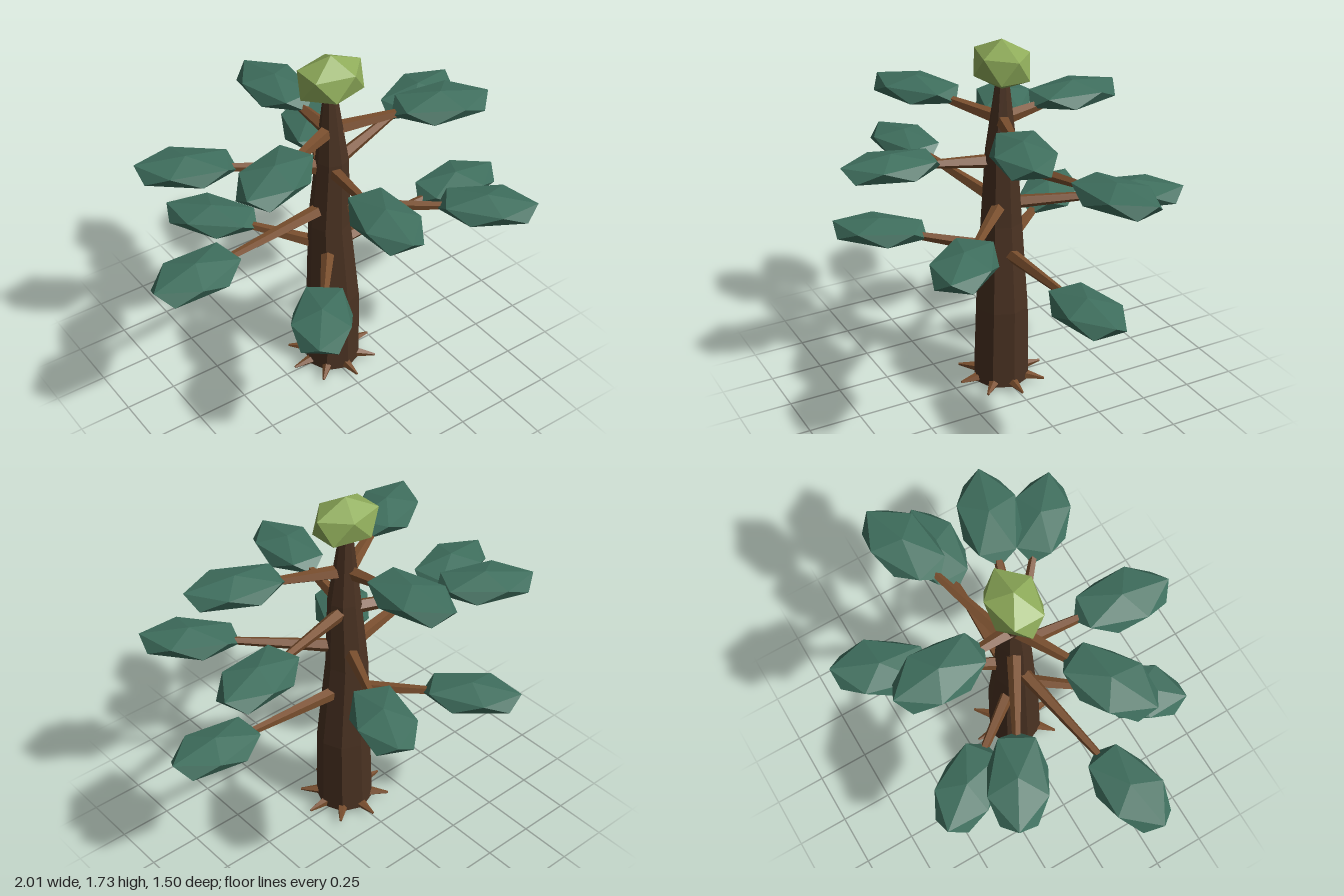
import * as THREE from 'three';

const paint = (color) => new THREE.MeshStandardMaterial({ color, flatShading: true });
const UP = new THREE.Vector3(0, 1, 0);

// tapered faceted limb between two points
function limb(from, to, r0, r1, sides, material, name) {
  const dir = to.clone().sub(from);
  const mesh = new THREE.Mesh(new THREE.CylinderGeometry(r1, r0, dir.length(), sides), material);
  mesh.position.copy(from).addScaledVector(dir, 0.5);
  mesh.quaternion.setFromUnitVectors(UP, dir.normalize());
  mesh.name = name;
  return mesh;
}

// stretched icosahedron standing on one of its corners
function clump(rx, ry, rz, material, name) {
  const g = new THREE.IcosahedronGeometry(1, 0);
  g.rotateZ(Math.atan2(1.618, 1) - Math.PI / 2);
  g.scale(rx, ry, rz);
  const mesh = new THREE.Mesh(g, material);
  mesh.name = name;
  return mesh;
}

// eight-sided trunk, each ring shifted a little off the axis
function trunkGeometry() {
  const rings = [ // y, radius, centre x, centre z
    [0.02, 0.137, 0.012, 0.01],
    [0.42, 0.128, 0.018, 0.008],
    [0.85, 0.1, 0.002, 0.002],
    [1.2, 0.077, 0.012, 0.008],
    [1.52, 0.034, 0.008, 0],
  ];
  const g = new THREE.CylinderGeometry(1, 1, 1, 8, rings.length - 1);
  const p = g.attributes.position;
  for (let i = 0; i < p.count; i++) {
    const [y, r, cx, cz] = rings[Math.round((p.getY(i) + 0.5) * (rings.length - 1))];
    p.setXYZ(i, p.getX(i) * r + cx, y, p.getZ(i) * r + cz);
  }
  g.computeVertexNormals();
  return g;
}

export function createModel() {
  const tree = new THREE.Group();
  tree.name = 'tree';
  const bark = paint(0x4a3222);
  const wood = paint(0x7a4f2e);
  const needles = paint(0x3f6f5e);
  const fresh = paint(0x8fac5a);

  const trunk = new THREE.Mesh(trunkGeometry(), bark);
  trunk.name = 'trunk';
  tree.add(trunk);

  // star of pointed roots
  for (let i = 0; i < 8; i++) {
    const a = (i / 8) * Math.PI * 2;
    const c = Math.cos(a), s = Math.sin(a);
    tree.add(limb(
      new THREE.Vector3(0.012 + c * 0.02, 0.045, 0.01 + s * 0.02),
      new THREE.Vector3(0.012 + c * 0.22, 0.034, 0.01 + s * 0.215),
      0.045, 0.006, 5, wood, 'root'));
  }

  // four tiers of three branches: height, then x, z of each foliage centre
  const tiers = [
    [0.7, [[-0.36, -0.46], [0.765, 0], [-0.36, 0.46]]],
    [0.935, [[-0.785, 0.13], [0.27, -0.545], [0.55, 0.47]]],
    [1.15, [[-0.56, -0.31], [0.66, -0.195], [-0.07, 0.515]]],
    [1.35, [[-0.03, -0.385], [0.495, 0.165], [-0.43, 0.22]]],
  ];
  for (const [y, centres] of tiers) {
    for (const [x, z] of centres) {
      const branch = new THREE.Group();
      branch.name = 'branch';
      const end = new THREE.Vector3(x, y + 0.047, z);
      branch.add(limb(new THREE.Vector3(0, y, 0), end, 0.036, 0.012, 5, wood, 'branchWood'));
      const leaf = clump(0.258, 0.062, 0.155, needles, 'foliage');
      leaf.position.copy(end);
      leaf.rotation.y = Math.atan2(-z, x);
      branch.add(leaf);
      tree.add(branch);
    }
  }

  // light green tip
  const crown = clump(0.178, 0.117, 0.135, fresh, 'crown');
  crown.position.set(0.008, 1.613, 0.003);
  tree.add(crown);
  return tree;
}
